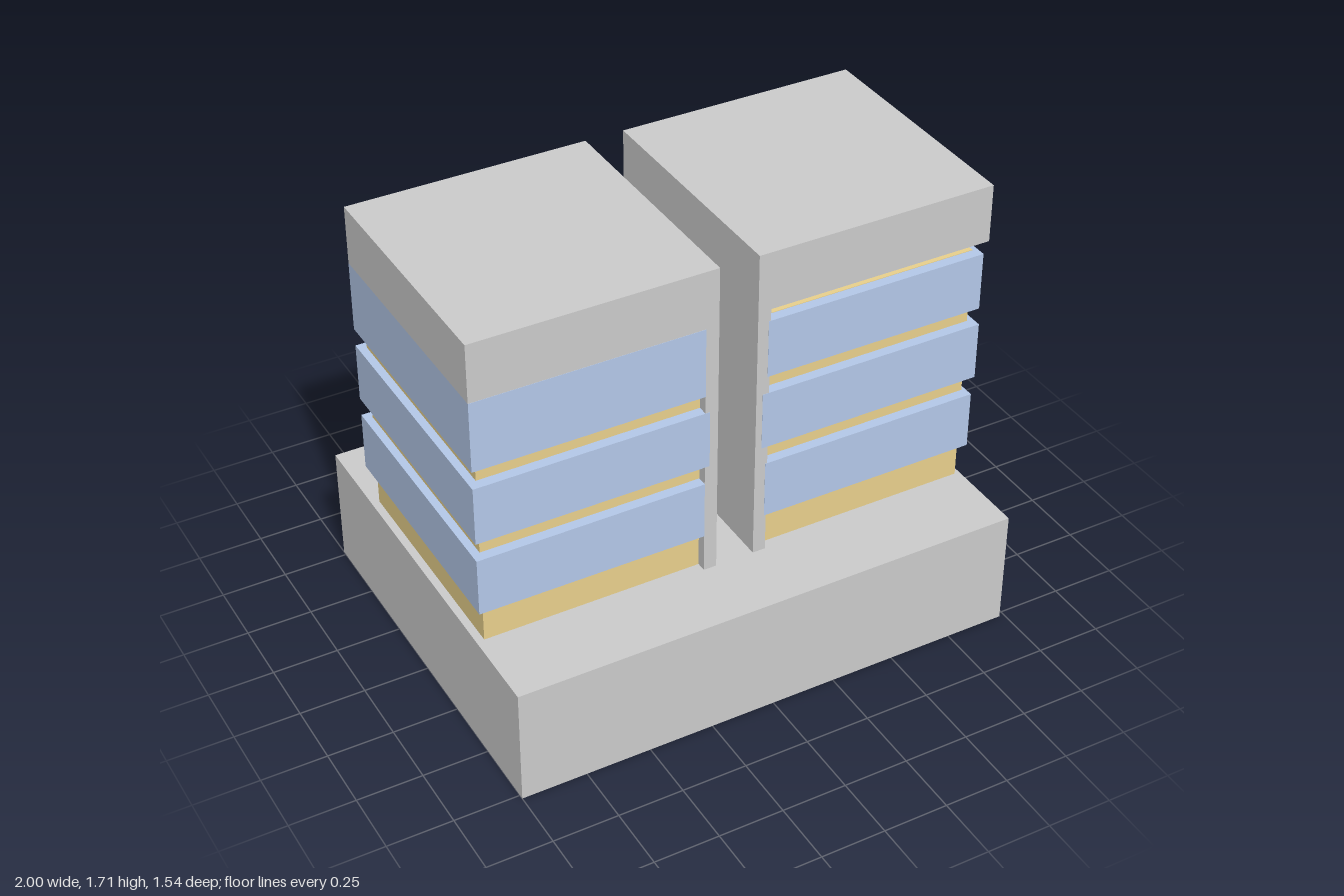
import * as THREE from 'three';

const grey = new THREE.MeshStandardMaterial({ color: 0xcccccc });
const blue = new THREE.MeshStandardMaterial({ color: 0xb4c8e8 });
const gold = new THREE.MeshStandardMaterial({ color: 0xe8d08c });

// Box given by its extents on each axis
function block(parent, name, material, [x0, x1], [y0, y1], [z0, z1]) {
  const mesh = new THREE.Mesh(new THREE.BoxGeometry(x1 - x0, y1 - y0, z1 - z0), material);
  mesh.position.set((x0 + x1) / 2, (y0 + y1) / 2, (z0 + z1) / 2);
  mesh.name = name;
  parent.add(mesh);
}

const BASE_TOP = 0.463, ROOF_BOTTOM = 1.485, TOP = 1.71;
const DEPTH = [-0.46, 0.488];
const BAND_DEPTH = [-0.461, 0.489]; // bands stand just proud of the inner wall
const CORE_DEPTH = [-0.43, 0.45];

// One tower: inner wall, roof slab, recessed core and projecting floor bands
function tower(name, { wall, roof, core, coreTop, bands }) {
  const group = new THREE.Group();
  group.name = name;
  block(group, 'innerWall', grey, wall, [BASE_TOP, ROOF_BOTTOM], DEPTH);
  block(group, 'roofSlab', grey, roof, [ROOF_BOTTOM, TOP], DEPTH);
  block(group, 'core', gold, core, [BASE_TOP, coreTop], CORE_DEPTH);
  bands.forEach(([x, y]) => block(group, 'floorBand', blue, x, y, BAND_DEPTH));
  return group;
}

export function createModel() {
  const model = new THREE.Group();
  model.name = 'twinTowerBuilding';

  block(model, 'podium', grey, [-1, 0.98], [0, BASE_TOP], [-0.768, 0.768]);

  model.add(tower('rightTower', {
    wall: [-0.13, -0.08],
    roof: [-1, -0.08],
    core: [-0.97, -0.13],
    coreTop: ROOF_BOTTOM,
    bands: [
      [[-1, -0.13], [0.615, 0.843]],
      [[-1, -0.112], [0.915, 1.143]],
      [[-1, -0.13], [1.212, ROOF_BOTTOM]],
    ],
  }));

  // The top band stops short of the roof here, leaving an open slot
  model.add(tower('leftTower', {
    wall: [0.07, 0.12],
    roof: [0.07, 1],
    core: [0.12, 0.96],
    coreTop: 1.441,
    bands: [
      [[0.112, 0.975], [0.615, 0.843]],
      [[0.095, 0.985], [0.915, 1.143]],
      [[0.112, 0.98], [1.212, 1.439]],
    ],
  }));

  return model;
}
